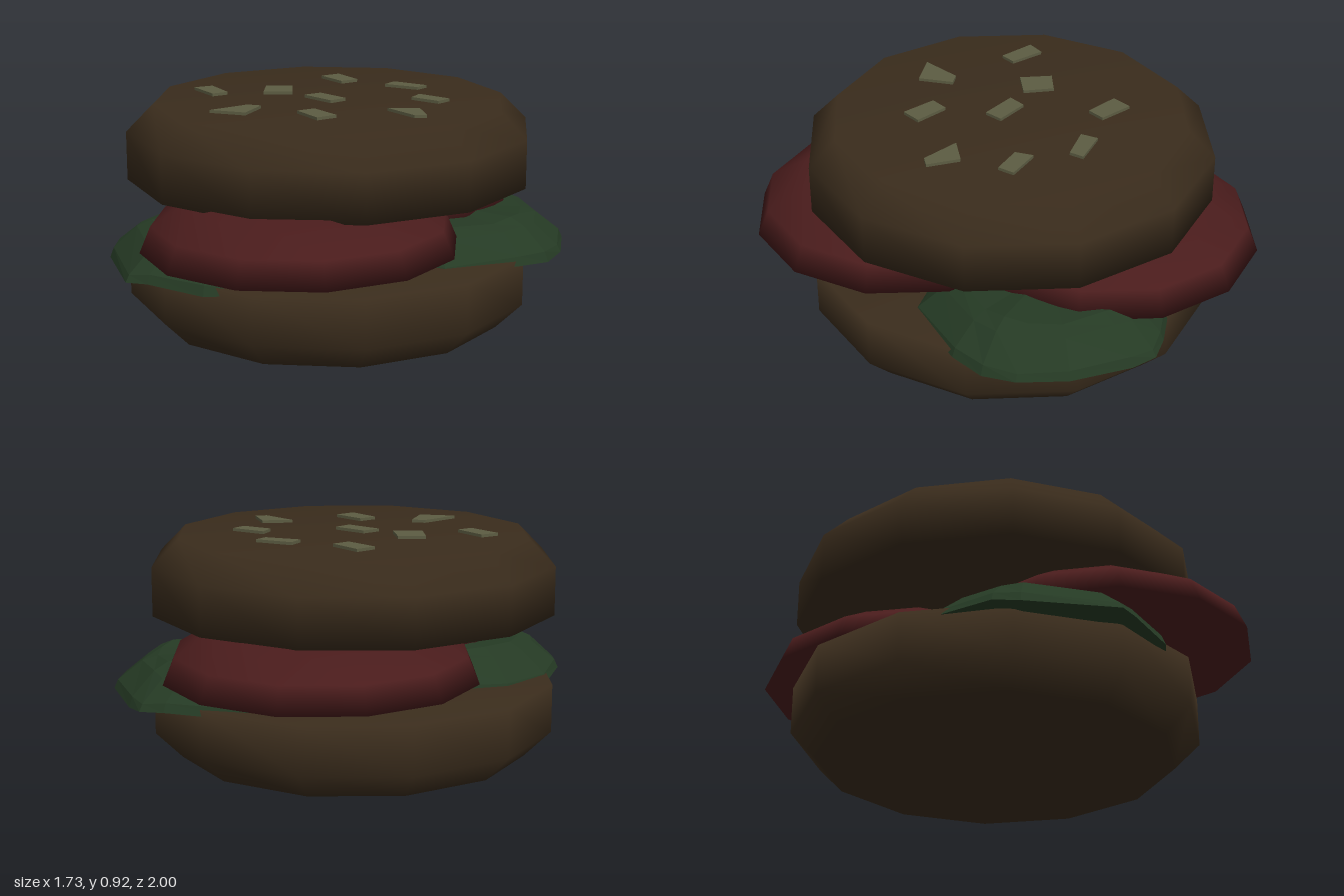
import * as THREE from 'three';

const mat = (color, flatShading = false) =>
  new THREE.MeshStandardMaterial({ color, flatShading, side: THREE.DoubleSide });
const bunMat = mat(0x3a2c1c);
const tomatoMat = mat(0x4a1c1c);
const lettuceMat = mat(0x253a24, true);
const seedMat = mat(0x5c5c42, true);

// Twelve-sided smooth turned part, profile given from bottom to top
function turned(name, profile, material, x, z) {
  const points = profile.map(([r, y]) => new THREE.Vector2(r, y));
  const mesh = new THREE.Mesh(new THREE.LatheGeometry(points, 12), material);
  mesh.name = name;
  mesh.position.set(x, 0, z);
  return mesh;
}

// Closed leaf dome with an uneven rim; rim = [angle in degrees, radius]
function leaf(name, rim, x, z) {
  const rings = [[0, 0.285], [1, 0.285], [0.97, 0.32], [0.78, 0.405], [0.66, 0.432], [0, 0.435]];
  const n = rim.length, pos = [], idx = [];
  rings.forEach(([s, y], k) => rim.forEach(([deg, r], i) => {
    const a = THREE.MathUtils.degToRad(deg);
    const wave = k > 0 && k < 5 ? 0.008 * Math.sin(i * 2.1 + k) : 0;
    pos.push(Math.cos(a) * r * s, y + wave, Math.sin(a) * r * s);
  }));
  for (let k = 0; k < rings.length - 1; k++) {
    for (let i = 0; i < n; i++) {
      const a = k * n + i, b = k * n + (i + 1) % n;
      if (k < rings.length - 2) idx.push(a, a + n, b + n);
      else idx.push(a, a + n, b);
      if (k > 0 && k < rings.length - 2) idx.push(a, b + n, b);
    }
  }
  const geo = new THREE.BufferGeometry();
  geo.setAttribute('position', new THREE.Float32BufferAttribute(pos, 3));
  geo.setIndex(idx);
  geo.computeVertexNormals();
  const mesh = new THREE.Mesh(geo, lettuceMat);
  mesh.name = name;
  mesh.position.set(x, 0, z);
  return mesh;
}

export function createModel() {
  const group = new THREE.Group();
  group.name = 'burger';

  // Bun halves
  group.add(turned('bottomBun', [[0, 0], [0.73, 0], [0.84, 0.11], [0.84, 0.31], [0, 0.31]], bunMat, -0.03, 0));
  group.add(turned('topBun', [[0, 0.6], [0.84, 0.6], [0.84, 0.8], [0.73, 0.91], [0, 0.91]], bunMat, -0.03, 0));

  // Two tomato slices, one slightly tilted
  const slice = [[0, 0.4], [0.635, 0.4], [0.59, 0.505], [0.42, 0.605], [0, 0.605]];
  group.add(turned('backTomato', slice, tomatoMat, -0.21, -0.365));
  const front = turned('frontTomato', slice, tomatoMat, 0.23, 0.36);
  front.position.y = 0.007;
  front.rotation.z = 0.012;
  group.add(front);

  // Lettuce leaves
  group.add(leaf('frontLettuce', [[0, 0.53], [25, 0.54], [50, 0.53], [78, 0.52], [88, 0.55], [130, 0.52],
    [142, 0.52], [166, 0.52], [195, 0.53], [230, 0.54], [270, 0.53], [320, 0.54]], -0.14, 0.41));
  group.add(leaf('backLettuce', [[3, 0.53], [40, 0.54], [90, 0.53], [130, 0.54], [170, 0.53], [215, 0.53],
    [259, 0.52], [270, 0.55], [281, 0.53], [310, 0.53], [332, 0.54], [347, 0.543]], 0.2, -0.41));

  // Seeds: thin chips on the top bun, corners as x, z pairs
  const seeds = [
    [-0.38, -0.34, -0.23, -0.32, -0.24, -0.24, -0.39, -0.25],
    [-0.09, -0.41, 0.06, -0.46, 0.07, -0.4, -0.07, -0.34],
    [0.18, -0.31, 0.33, -0.34, 0.34, -0.27, 0.21, -0.24],
    [0.39, -0.12, 0.51, -0.05, 0.48, -0.01, 0.31, -0.02],
    [-0.29, -0.01, -0.19, 0.07, -0.27, 0.16, -0.37, 0.07],
    [-0.1, -0.01, 0.05, -0.02, 0.05, 0.06, -0.11, 0.07],
    [-0.51, 0.25, -0.36, 0.28, -0.37, 0.35, -0.53, 0.33],
    [0.13, 0.21, 0.28, 0.22, 0.27, 0.31, 0.12, 0.29],
    [-0.05, 0.34, 0.02, 0.47, -0.11, 0.55, -0.1, 0.37],
  ];
  seeds.forEach((c, i) => {
    const corners = [0, 2, 4, 6].map((k) => new THREE.Vector2(c[k], -c[k + 1]));
    const geo = new THREE.ExtrudeGeometry(new THREE.Shape(corners), { depth: 0.02, bevelEnabled: false });
    geo.rotateX(-Math.PI / 2);
    const mesh = new THREE.Mesh(geo, seedMat);
    mesh.name = `seed${i + 1}`;
    mesh.position.y = 0.902;
    group.add(mesh);
  });
  return group;
}
